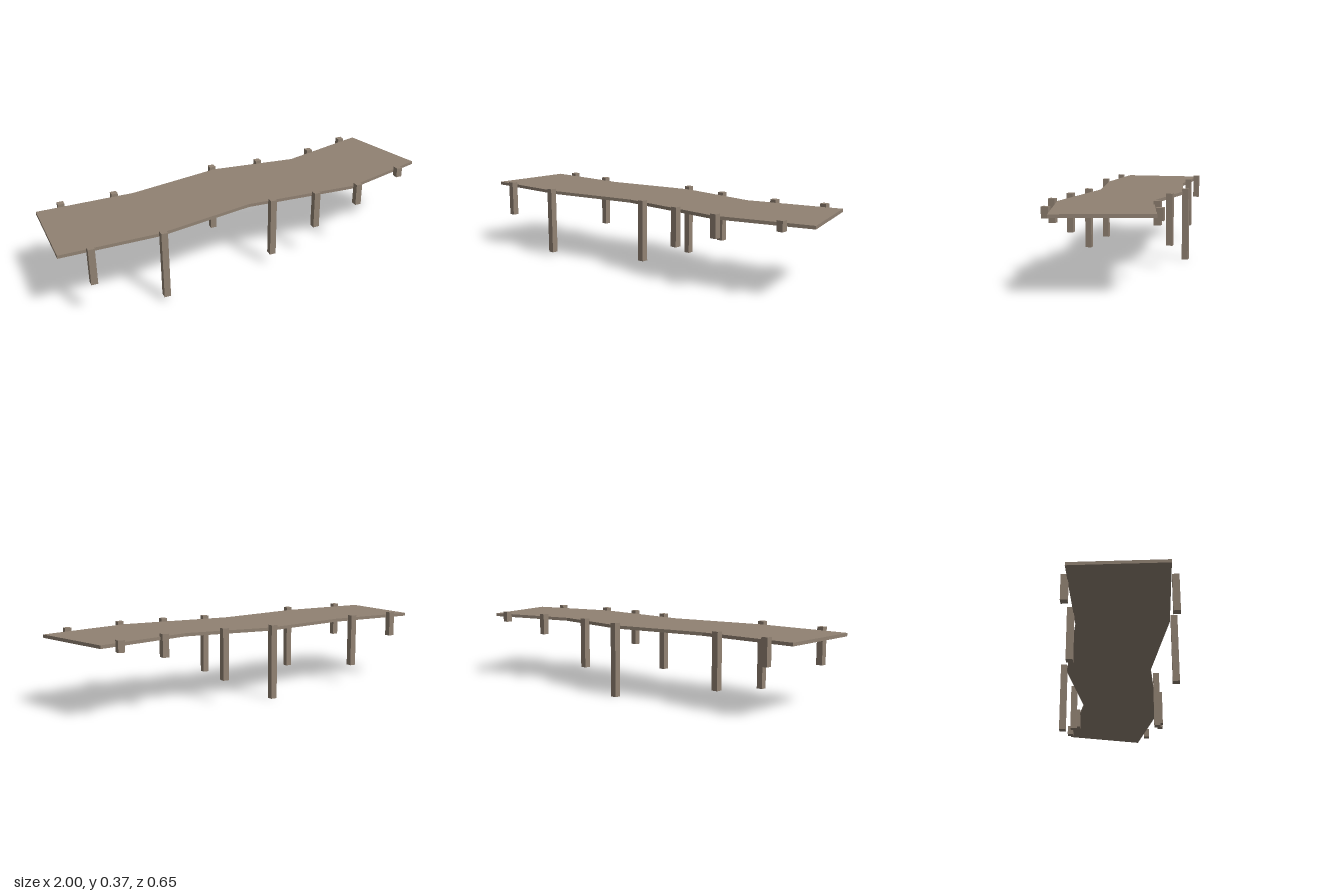
import * as THREE from 'three';

const DECK_BOTTOM = 0.339, DECK_THICKNESS = 0.016;
const POST_TOP = 0.37, POST_WIDTH = 0.032;

// Deck outline as [x, z], back edge then front edge
const OUTLINE = [
  [-1, -0.157], [-0.51, -0.157], [-0.03, -0.247], [0.41, -0.193], [0.88, -0.316],
  [1, 0.109], [0.54, 0.233], [-0.03, 0.196], [-0.52, 0.288], [-1, 0.288],
];

// Posts as [x, z, bottom]
const BACK_POSTS = [
  [-0.876, -0.171, 0.24], [-0.607, -0.171, 0.098], [-0.037, -0.261, 0],
  [0.22, -0.231, 0.115], [0.543, -0.242, 0.26], [0.786, -0.308, 0.315],
];
const FRONT_POSTS = [
  [-0.855, 0.308, 0.187], [-0.514, 0.308, 0.025], [0.085, 0.225, 0.065],
  [0.321, 0.243, 0.178], [0.563, 0.247, 0.257], [0.865, 0.166, 0.32],
];

export function createModel() {
  const model = new THREE.Group();
  model.name = 'boardwalk';
  const wood = new THREE.MeshStandardMaterial({ color: 0x918273 });
  wood.name = 'weathered wood';

  // Winding deck slab
  const shape = new THREE.Shape(OUTLINE.map(([x, z]) => new THREE.Vector2(x, -z)));
  const deckGeometry = new THREE.ExtrudeGeometry(shape, { depth: DECK_THICKNESS, bevelEnabled: false });
  deckGeometry.rotateX(-Math.PI / 2).translate(0, DECK_BOTTOM, 0);
  const deck = new THREE.Mesh(deckGeometry, wood);
  deck.name = 'deck';
  model.add(deck);

  // Square posts along each edge, reaching down to uneven ground
  const addPosts = (posts, name) => {
    const row = new THREE.Group();
    row.name = name + 's';
    for (const [x, z, bottom] of posts) {
      const post = new THREE.Mesh(new THREE.BoxGeometry(POST_WIDTH, POST_TOP - bottom, POST_WIDTH), wood);
      post.position.set(x, (POST_TOP + bottom) / 2, z);
      post.name = name;
      row.add(post);
    }
    model.add(row);
  };
  addPosts(BACK_POSTS, 'backPost');
  addPosts(FRONT_POSTS, 'frontPost');

  return model;
}
